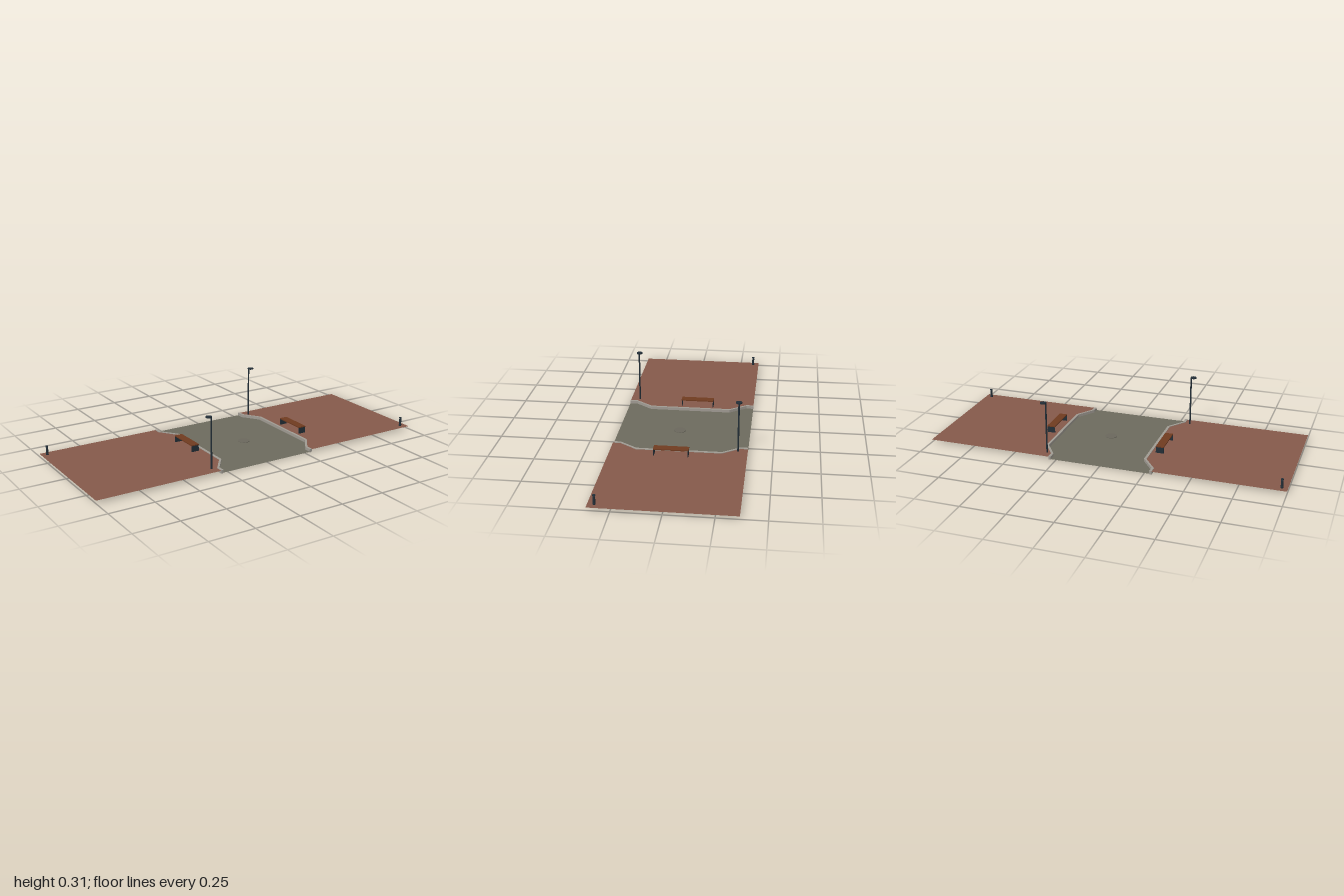
import * as THREE from 'three';

const HALF_Z = 0.366, KERB_W = 0.014, WALK_Y = 0.016, ROAD_Y = 0.003;

function material(name, color, side = THREE.FrontSide) {
  const m = new THREE.MeshStandardMaterial({ color, side });
  m.name = name;
  return m;
}

// Kerb line from back to front as [x, z]; the middle stretch is shifted sideways
const kerbLine = (endX, midX) => [
  [endX, -HALF_Z], [endX, -0.325], [midX, -0.23],
  [midX, 0.23], [endX, 0.325], [endX, HALF_Z],
];
const shift = (line, dx) => line.map(([x, z]) => [x + dx, z]);
const planShape = (points) => new THREE.Shape(points.map(([x, z]) => new THREE.Vector2(x, -z)));

export function createModel() {
  const model = new THREE.Group();
  model.name = 'streetSegment';

  const paving = material('brickPaving', 0x85594a, THREE.DoubleSide);
  const asphalt = material('asphalt', 0x6c6a5d, THREE.DoubleSide);
  const coverGrey = material('coverGrey', 0x6a675c);
  const concrete = material('kerbConcrete', 0xa09b93);
  const wood = material('benchWood', 0x703b20);
  const iron = material('darkIron', 0x222e37);

  const add = (parent, name, geometry, mat, x = 0, y = 0, z = 0) => {
    const mesh = new THREE.Mesh(geometry, mat);
    mesh.name = name;
    mesh.position.set(x, y, z);
    parent.add(mesh);
    return mesh;
  };
  const flat = (points) => new THREE.ShapeGeometry(planShape(points)).rotateX(-Math.PI / 2);

  // Inner (road side) edges of the two kerbs
  const rightInner = kerbLine(-0.278, -0.208);
  const leftInner = kerbLine(0.278, 0.344);

  // Roadway
  add(model, 'road', flat([...rightInner, ...[...leftInner].reverse()]), asphalt, 0, ROAD_Y, 0);

  // Kerbs and pavements on both sides
  for (const [label, inner, s] of [['right', rightInner, -1], ['left', leftInner, 1]]) {
    const outer = shift(inner, s * KERB_W);
    const kerb = new THREE.ExtrudeGeometry(planShape([...inner, ...[...outer].reverse()]),
      { depth: 0.019, bevelEnabled: false }).rotateX(-Math.PI / 2);
    add(model, label + 'Kerb', kerb, concrete);
    add(model, label + 'Pavement', flat([...outer, [s, HALF_Z], [s, -HALF_Z]]), paving, 0, WALK_Y, 0);
  }

  // Manhole cover
  add(model, 'manholeCover', new THREE.CylinderGeometry(0.033, 0.033, 0.003, 24), coverGrey,
    0.067, ROAD_Y + 0.001, 0.027);

  // Benches: plank seat on two end panels
  for (const [x, z] of [[-0.267, -0.039], [0.4, 0.034]]) {
    const bench = new THREE.Group();
    bench.name = 'bench';
    bench.position.set(x, 0, z);
    add(bench, 'seat', new THREE.BoxGeometry(0.045, 0.006, 0.188), wood, 0, 0.053, 0);
    for (const s of [-1, 1]) {
      add(bench, 'endPanel', new THREE.BoxGeometry(0.045, 0.037, 0.003), iron, 0, 0.0325, s * 0.0915);
    }
    model.add(bench);
  }

  // Street lamps: slim pole with a disc head reaching outwards
  for (const s of [-1, 1]) {
    const lamp = new THREE.Group();
    lamp.name = 'streetLamp';
    lamp.position.set(s * 0.32, 0, -s * 0.314);
    add(lamp, 'pole', new THREE.CylinderGeometry(0.0045, 0.0045, 0.29, 10), iron, 0, 0.158, 0);
    add(lamp, 'head', new THREE.CylinderGeometry(0.017, 0.017, 0.006, 16), iron, s * 0.014, 0.304, 0);
    model.add(lamp);
  }

  // Bollards with a waisted neck and cap
  const profile = [[0, 0.014], [0.0075, 0.014], [0.0075, 0.024], [0.0065, 0.026], [0.0065, 0.058],
    [0.004, 0.061], [0.004, 0.063], [0.0075, 0.063], [0.0075, 0.067], [0, 0.067]];
  for (const [x, z] of [[-0.968, -0.331], [0.964, 0.331]]) {
    const geometry = new THREE.LatheGeometry(profile.map(([r, y]) => new THREE.Vector2(r, y)), 12)
      .toNonIndexed();
    geometry.computeVertexNormals();
    add(model, 'bollard', geometry, iron, x, 0, z);
  }

  return model;
}
